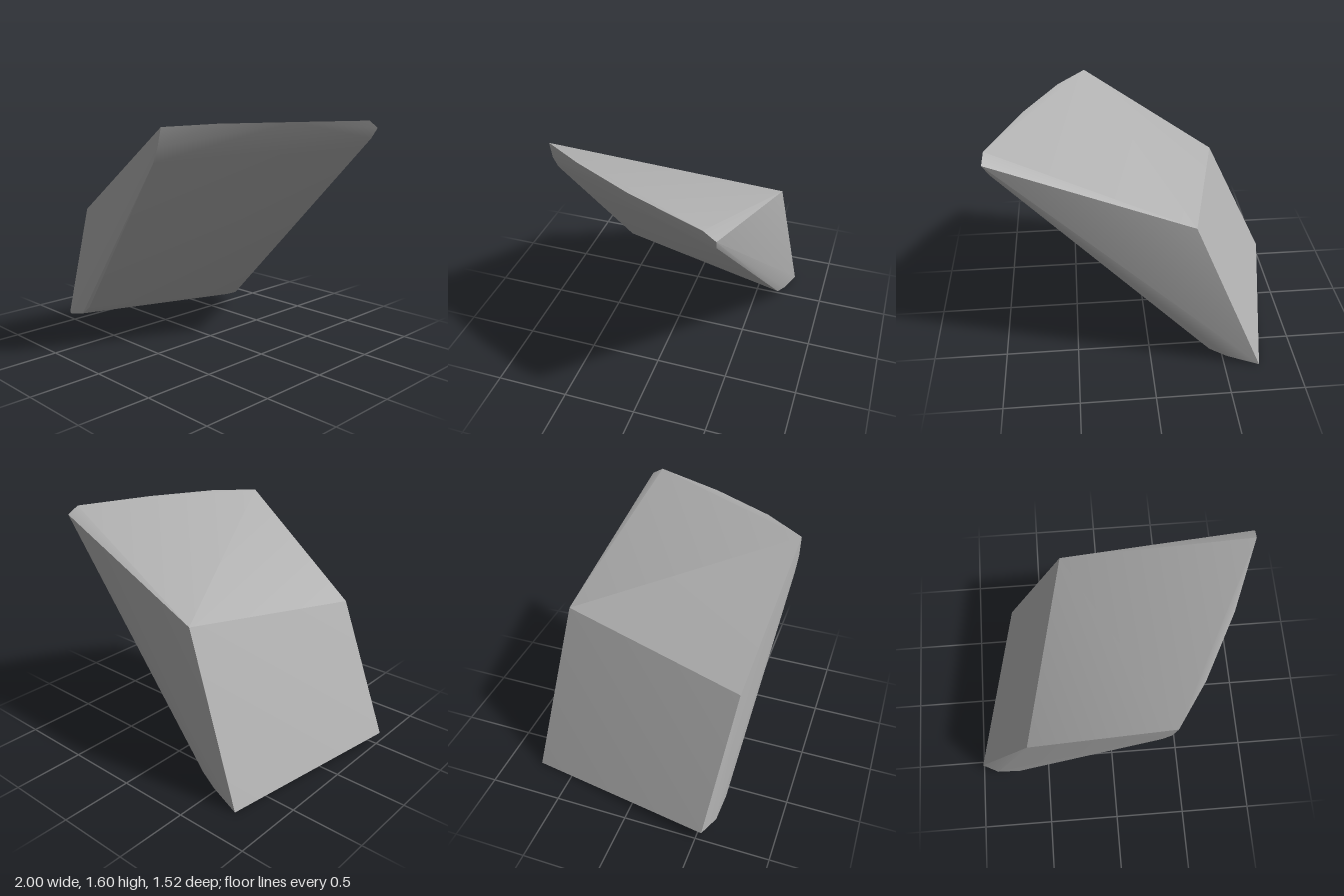
import * as THREE from 'three';
import { ConvexGeometry } from 'three/addons/geometries/ConvexGeometry.js';
import { toCreasedNormals } from 'three/addons/utils/BufferGeometryUtils.js';

export function createModel() {
  const group = new THREE.Group();
  group.name = 'rock';
  const stone = new THREE.MeshStandardMaterial({ color: 0xb0b0b0 });
  stone.name = 'stone grey';

  // front end outline, from the low left corner up and round
  const frontRim = [
    [-1, 0.07, 0.54], [-0.58, 0.95, 0.64], [0.36, 1.58, 0.755],
    [0.33, 1.46, 0.757], [0.28, 1.36, 0.75],
    [-0.63, 0.21, 0.615], [-0.71, 0.145, 0.62], [-0.88, 0.1, 0.605],
  ];
  // back end outline, in the same order
  const backRim = [
    [-0.74, 0, -0.76], [-0.28, 1.1, -0.66], [0.99, 1.59, -0.45],
    [1, 1.54, -0.53], [0.96, 1.47, -0.52], [0.9, 1.4, -0.51],
    [-0.4, 0.1, -0.68], [-0.52, 0.05, -0.71],
  ];
  // bowed upper right edge
  const topEdge = [[0.55, 1.595, 0.48], [0.78, 1.595, 0.05]];

  const points = [...frontRim, ...backRim, ...topEdge].map((p) => new THREE.Vector3(...p));
  // soft rounded edges, sharp main ridges
  const rock = new THREE.Mesh(toCreasedNormals(new ConvexGeometry(points), 0.42), stone);
  rock.name = 'boulder';
  group.add(rock);
  return group;
}
